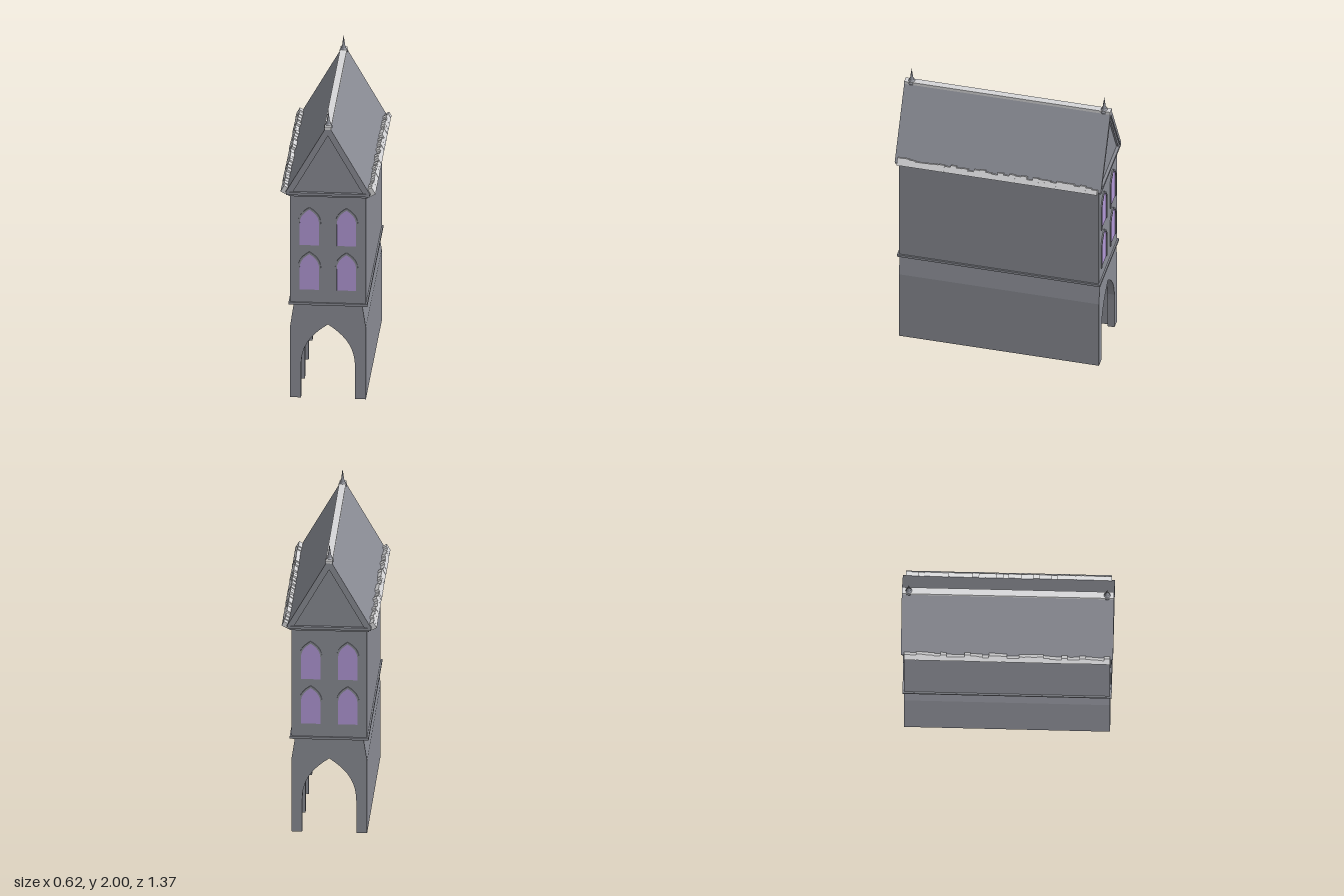
import * as THREE from 'three';

const mat = (name, color) => Object.assign(new THREE.MeshStandardMaterial({ color }), { name });

export function createModel() {
  const stone = mat('grey stone', 0x8a8c94);
  const snow = mat('pale snow', 0xd6d6d8);
  const glass = mat('violet glass', 0xb298d6);
  const model = new THREE.Group();
  model.name = 'gatehouse';

  const add = (geometry, material, name, x = 0, y = 0, z = 0, parent = model) => {
    const mesh = new THREE.Mesh(geometry, material);
    mesh.name = name;
    mesh.position.set(x, y, z);
    parent.add(mesh);
    return mesh;
  };
  const box = (w, h, d, material, name, x, y, z) =>
    add(new THREE.BoxGeometry(w, h, d), material, name, x, y, z);
  // Extrusion along z, centred on its own depth
  const extrude = (shape, depth) =>
    new THREE.ExtrudeGeometry(shape, { depth, bevelEnabled: false, curveSegments: 9 })
      .translate(0, 0, -depth / 2);
  const polygon = (points) => new THREE.Shape(points.map(([x, y]) => new THREE.Vector2(x, y)));

  // Points of a pointed arch, from its right foot over the apex to its left foot
  const archPoints = (w, base, spring, apex) => {
    const rise = apex - spring;
    const curve = new THREE.CubicBezierCurve(
      new THREE.Vector2(w, spring), new THREE.Vector2(w, spring + rise * 0.5),
      new THREE.Vector2(w * 0.6, spring + rise * 0.76), new THREE.Vector2(0, apex));
    const right = [[w, base], ...curve.getPoints(9).map((p) => [p.x, p.y])];
    return [...right, ...right.slice(0, -1).reverse().map(([x, y]) => [-x, y])];
  };
  // Band between two arches that stand on the same base
  const archBand = (outer, inner) => polygon([...outer, ...inner.slice().reverse()]);

  // Passage block with its tapered shoulders
  const narrow = archPoints(0.175, 0, 0.22, 0.515);
  const wide = archPoints(0.195, 0, 0.22, 0.54);
  add(extrude(polygon([
    [-0.245, 0], ...wide.slice().reverse(), [0.245, 0],
    [0.245, 0.5], [0.222, 0.65], [-0.222, 0.65], [-0.245, 0.5],
  ]), 1.33), stone, 'passageWalls');

  // Vault ribs, the end ones flush with the faces
  for (let i = 0; i < 5; i++) {
    add(extrude(archBand(wide, narrow), 0.046), stone, 'vaultRib', 0, 0, -0.642 + i * 0.321);
  }

  // Upper storeys, string course and cornice
  box(0.49, 0.77, 1.33, stone, 'upperWalls', 0, 1.035, 0);
  box(0.51, 0.017, 1.35, stone, 'stringCourse', 0, 0.658, 0);
  box(0.512, 0.012, 1.35, stone, 'corniceLower', 0, 1.413, 0);
  box(0.54, 0.018, 1.37, stone, 'corniceUpper', 0, 1.428, 0);

  // Pointed windows on both end walls
  const outerWindow = archPoints(0.074, 0, 0.15, 0.265);
  const innerWindow = archPoints(0.063, 0, 0.148, 0.25);
  for (const side of [1, -1]) {
    const end = new THREE.Group();
    end.name = side > 0 ? 'frontWindows' : 'backWindows';
    end.rotation.y = side > 0 ? 0 : Math.PI;
    model.add(end);
    for (const x of [-0.12, 0.12]) {
      for (const y of [0.755, 1.065]) {
        add(extrude(archBand(outerWindow, innerWindow), 0.012), stone, 'windowFrame', x, y, 0.667, end);
        add(extrude(polygon(innerWindow), 0.004), glass, 'windowPane', x, y, 0.665, end);
      }
    }
  }

  // Gable block, roof covering and verge beams
  add(extrude(polygon([[-0.245, 1.42], [0.245, 1.42], [0, 1.86]]), 1.33), stone, 'gable');
  add(extrude(polygon([
    [-0.275, 1.435], [-0.25, 1.435], [0, 1.863], [0.25, 1.435], [0.275, 1.435],
    [0.02, 1.882], [-0.02, 1.882],
  ]), 1.37), stone, 'roof');
  for (const z of [-0.669, 0.669]) {
    add(extrude(polygon([
      [-0.252, 1.435], [-0.228, 1.435], [0, 1.835], [0.228, 1.435], [0.252, 1.435], [0, 1.868],
    ]), 0.016), stone, 'vergeBeam', 0, 0, z);
  }
  box(0.044, 0.02, 1.37, snow, 'ridgeSnow', 0, 1.891, 0);

  // Ragged strips of snow along both eaves
  let seed = 7;
  const random = () => (seed = (seed * 16807) % 2147483647) / 2147483647;
  const slope = Math.atan2(0.447, 0.255);
  for (const side of [1, -1]) {
    const eave = new THREE.Group();
    eave.name = side > 0 ? 'leftEaveSnow' : 'rightEaveSnow';
    eave.position.set(side * 0.292, 1.425, 0);
    eave.rotation.z = side > 0 ? Math.PI - slope : slope;
    model.add(eave);
    const count = 34, step = 1.33 / count;
    for (let i = 0; i < count; i++) {
      const length = 0.032 + random() * 0.022;
      add(new THREE.BoxGeometry(length, 0.032 + random() * 0.006, step),
        snow, 'snowClump', length / 2, 0, -0.665 + (i + 0.5) * step, eave);
    }
  }

  // Spire finials at both ends of the ridge
  const finial = new THREE.LatheGeometry([
    [0, 1.872], [0.018, 1.874], [0.028, 1.885], [0.028, 1.893], [0.018, 1.905],
    [0.012, 1.912], [0.016, 1.918], [0.01, 1.926], [0.007, 1.95], [0, 2],
  ].map(([x, y]) => new THREE.Vector2(x, y)), 10);
  for (const z of [-0.64, 0.64]) add(finial, stone, 'finial', 0, 0, z);

  return model;
}
